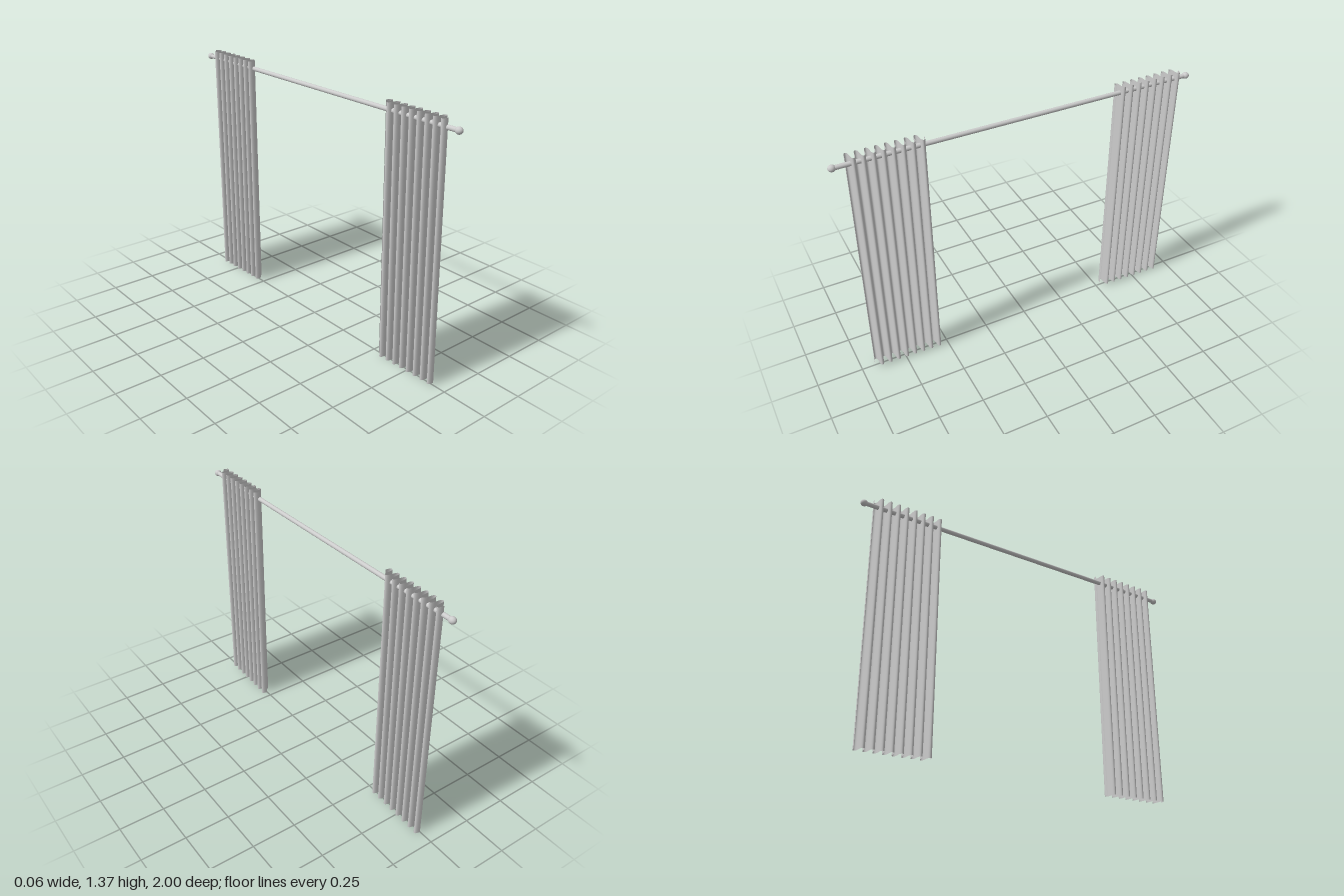
import * as THREE from 'three';

const ROD_Y = 1.327, TOP_Y = 1.37;
const FOLDS = 8, PITCH = 0.0485, DEPTH = 0.03;

// Pleated cloth: a flat grid bent into a rounded wave, hanging slightly askew
function curtainGeometry() {
  const geo = new THREE.PlaneGeometry(1, 1, FOLDS * 24, 4);
  const pos = geo.attributes.position;
  for (let i = 0; i < pos.count; i++) {
    const u = pos.getX(i) + 0.5;      // along the rod
    const down = 0.5 - pos.getY(i);   // 0 at the top hem, 1 at the bottom hem
    const a = u * FOLDS * Math.PI * 2;
    const x = DEPTH * Math.sin(a);
    const z = (u - 0.5) * FOLDS * PITCH - 0.003 * Math.sin(2 * a) + (down - 0.5) * 0.01;
    const hem = 0.002 + 0.014 * u;    // bottom hem rises toward +z
    pos.setXYZ(i, x, THREE.MathUtils.lerp(TOP_Y, hem, down), z);
  }
  geo.computeVertexNormals();
  return geo;
}

export function createModel() {
  const group = new THREE.Group();
  const metal = new THREE.MeshStandardMaterial({ color: 0xcccccc });
  const cloth = new THREE.MeshStandardMaterial({ color: 0xcccccc, side: THREE.DoubleSide });

  // Rod
  const rod = new THREE.Mesh(new THREE.CylinderGeometry(0.012, 0.012, 1.95, 24), metal);
  rod.name = 'rod';
  rod.rotation.x = Math.PI / 2;
  rod.position.y = ROD_Y;
  group.add(rod);

  // Finials and curtains at both ends
  const ball = new THREE.SphereGeometry(0.018, 24, 16);
  const drape = curtainGeometry();
  for (const s of [1, -1]) {
    const end = s > 0 ? 'front' : 'back';

    const finial = new THREE.Mesh(ball, metal);
    finial.name = end + 'Finial';
    finial.scale.z = 1.1;
    finial.position.set(0, ROD_Y, s * 0.98);
    group.add(finial);

    const curtain = new THREE.Mesh(drape, cloth);
    curtain.name = end + 'Curtain';
    curtain.position.z = s * 0.7265;
    group.add(curtain);
  }
  return group;
}
